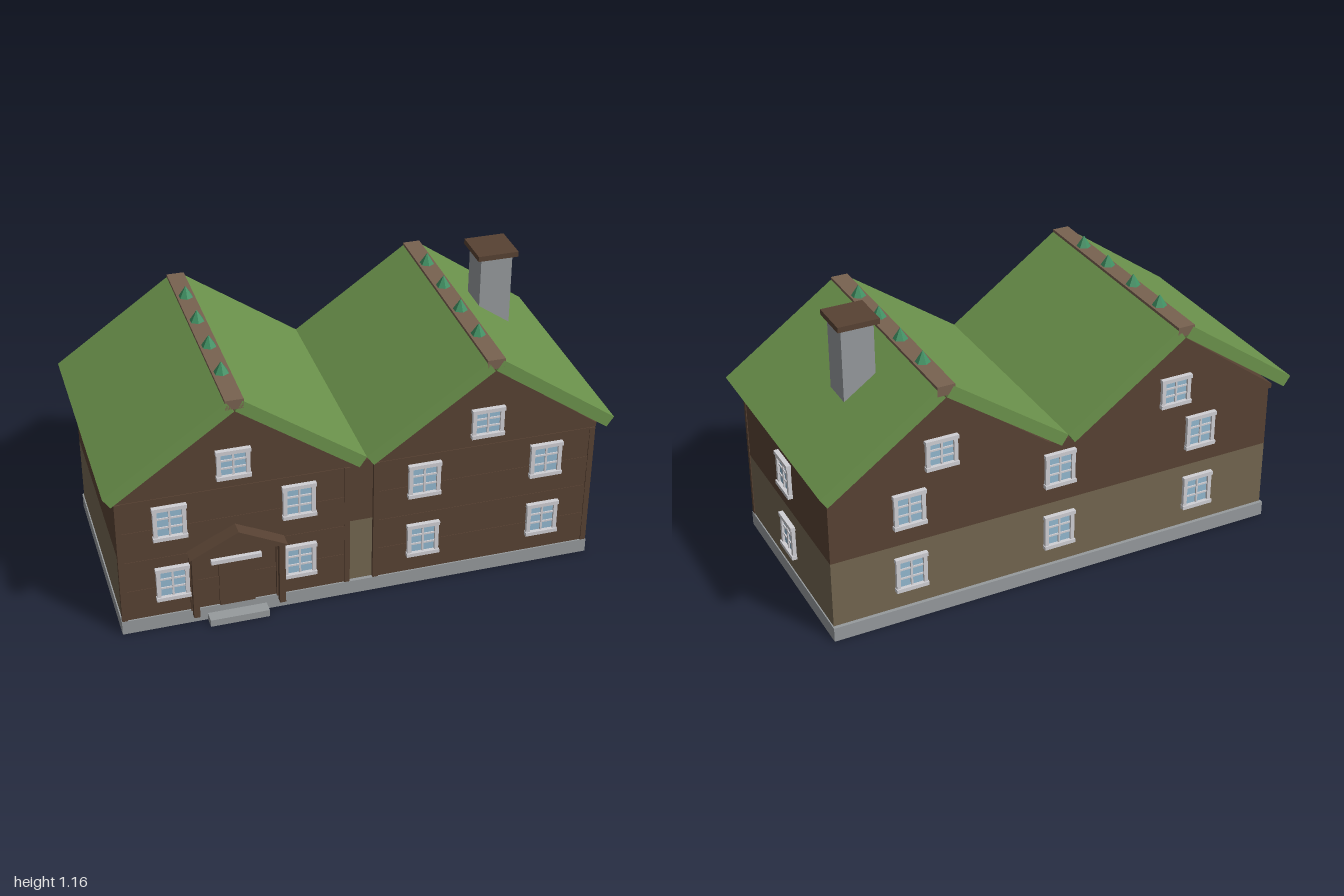
import * as THREE from 'three';

const mat = (name, color) => {
  const m = new THREE.MeshStandardMaterial({ color });
  m.name = name;
  return m;
};

export function createModel() {
  const house = new THREE.Group();
  house.name = 'twinGableHouse';
  const brown = mat('dark timber', 0x584233);
  const tan = mat('light timber', 0x736650);
  const ridgeWood = mat('ridge wood', 0x786250);
  const green = mat('turf', 0x6c934c);
  const leaf = mat('shrub green', 0x3f8f62);
  const stone = mat('stone', 0x969a9d);
  const white = mat('window trim', 0xd0cfd4);
  const glass = mat('glass', 0x93b8d0);

  const add = (name, geo, material, parent = house) => {
    const m = new THREE.Mesh(geo, material);
    m.name = name;
    parent.add(m);
    return m;
  };
  // box given by its lower and upper limits on each axis
  const block = (name, material, x0, x1, y0, y1, z0, z1, parent) => {
    const m = add(name, new THREE.BoxGeometry(x1 - x0, y1 - y0, z1 - z0), material, parent);
    m.position.set((x0 + x1) / 2, (y0 + y1) / 2, (z0 + z1) / 2);
    return m;
  };
  // triangular prism running along z
  const prism = (name, material, cx, half, y0, y1, z0, z1) => {
    const s = new THREE.Shape([
      new THREE.Vector2(cx - half, y0), new THREE.Vector2(cx + half, y0), new THREE.Vector2(cx, y1)]);
    const m = add(name, new THREE.ExtrudeGeometry(s, { depth: z1 - z0, bevelEnabled: false }), material);
    m.position.z = z0;
    return m;
  };

  // foundation, walls and the plate on top of them
  block('foundation', stone, -0.955, 0.955, 0, 0.06, -0.445, 0.445);
  block('lowerWalls', tan, -0.95, 0.95, 0.06, 0.34, -0.43, 0.43);
  block('upperWalls', brown, -0.95, 0.95, 0.34, 0.6, -0.43, 0.43);
  block('wallPlate', brown, -0.958, 0.958, 0.6, 0.62, -0.438, 0.438);

  for (const side of [-1, 1]) {
    const cx = side * 0.5;
    // horizontal boards on the front
    const rows = 8, h = 0.54 / rows;
    for (let i = 0; i < rows; i++) {
      block('frontBoard', brown, cx - 0.45, cx + 0.45, 0.06 + i * h, 0.06 + (i + 1) * h,
        0.428, 0.439 + (i % 2) * 0.002);
    }
    // corner boards of each front
    for (const e of [-1, 1]) {
      const x = cx + e * 0.442;
      block('cornerBoard', brown, x - 0.011, x + 0.011, 0.06, 0.6, 0.425, 0.444);
    }
    // gable walls
    prism('frontGable', brown, cx, 0.455, 0.62, 0.955, 0.4, 0.44);
    prism('backGable', brown, cx, 0.455, 0.62, 0.955, -0.44, -0.4);

    // roof slabs: square-ended sections meeting under the ridge board
    for (const e of [-1, 1]) {
      const pts = [[0.5, 0.675], [0.03, 1.006], [0.002, 0.965], [0.472, 0.634]];
      const shape = new THREE.Shape(pts.map(([x, y]) => new THREE.Vector2(cx + e * x, y)));
      const slab = add('roofSlab', new THREE.ExtrudeGeometry(shape, { depth: 1, bevelEnabled: false }), green);
      slab.position.z = -0.5;
    }
    block('ridgeBoard', ridgeWood, cx - 0.035, cx + 0.035, 0.975, 1.014, -0.5, 0.5);

    // small shrubs along the ridge
    for (const z of [-0.3, -0.1, 0.1, 0.3]) {
      const geo = new THREE.ConeGeometry(0.03, 0.047, 6).toNonIndexed();
      geo.computeVertexNormals();
      add('ridgeShrub', geo, leaf).position.set(cx, 1.037, z);
    }
  }

  // chimney
  block('chimney', stone, 0.632, 0.762, 0.62, 1.142, -0.167, -0.037);
  block('chimneyCap', brown, 0.614, 0.78, 1.142, 1.164, -0.186, -0.02);

  // window facing +z, two panes by three
  const addWindow = (x, y, z, turn = 0, height = 0.142) => {
    const w = new THREE.Group();
    w.name = 'window';
    const t = height / 2;
    block('glassPane', glass, -0.052, 0.052, -t + 0.01, t - 0.01, -0.004, 0.005, w);
    for (const e of [-1, 1]) {
      block('frameSide', white, e * 0.056 - 0.008, e * 0.056 + 0.008, -t, t, -0.004, 0.015, w);
      const bar = e * (t - 0.01) / 3;
      block('glazingBar', white, -0.05, 0.05, bar - 0.0035, bar + 0.0035, -0.004, 0.01, w);
    }
    block('mullion', white, -0.004, 0.004, -t, t, -0.004, 0.011, w);
    block('windowHead', white, -0.067, 0.067, t - 0.013, t + 0.003, -0.004, 0.019, w);
    block('windowSill', white, -0.067, 0.067, -t - 0.003, -t + 0.013, -0.004, 0.021, w);
    w.position.set(x, y, z);
    w.rotation.y = turn;
    house.add(w);
  };
  for (const y of [0.212, 0.492]) {
    for (const x of [-0.75, -0.25, 0.25, 0.75]) addWindow(x, y, 0.441);
    for (const x of [-0.63, 0, 0.63]) addWindow(x, y, -0.43, Math.PI);
    addWindow(0.95, y, 0, Math.PI / 2);
  }
  for (const x of [-0.5, 0.5]) {
    addWindow(x, 0.708, 0.44, 0, 0.12);
    addWindow(x, 0.708, -0.44, Math.PI, 0.12);
  }

  // porch, door and step
  prism('porchRoof', brown, -0.5, 0.19, 0.335, 0.43, 0.435, 0.5);
  for (const x of [-0.672, -0.332]) {
    block('porchPost', brown, x - 0.012, x + 0.012, 0.06, 0.338, 0.474, 0.498);
    block('wallPost', brown, x - 0.012, x + 0.012, 0.06, 0.338, 0.435, 0.452);
  }
  block('door', brown, -0.57, -0.43, 0.06, 0.265, 0.435, 0.448);
  block('doorLintel', white, -0.6, -0.402, 0.265, 0.283, 0.435, 0.458);
  block('doorStep', stone, -0.62, -0.385, 0, 0.03, 0.44, 0.494);

  return house;
}
